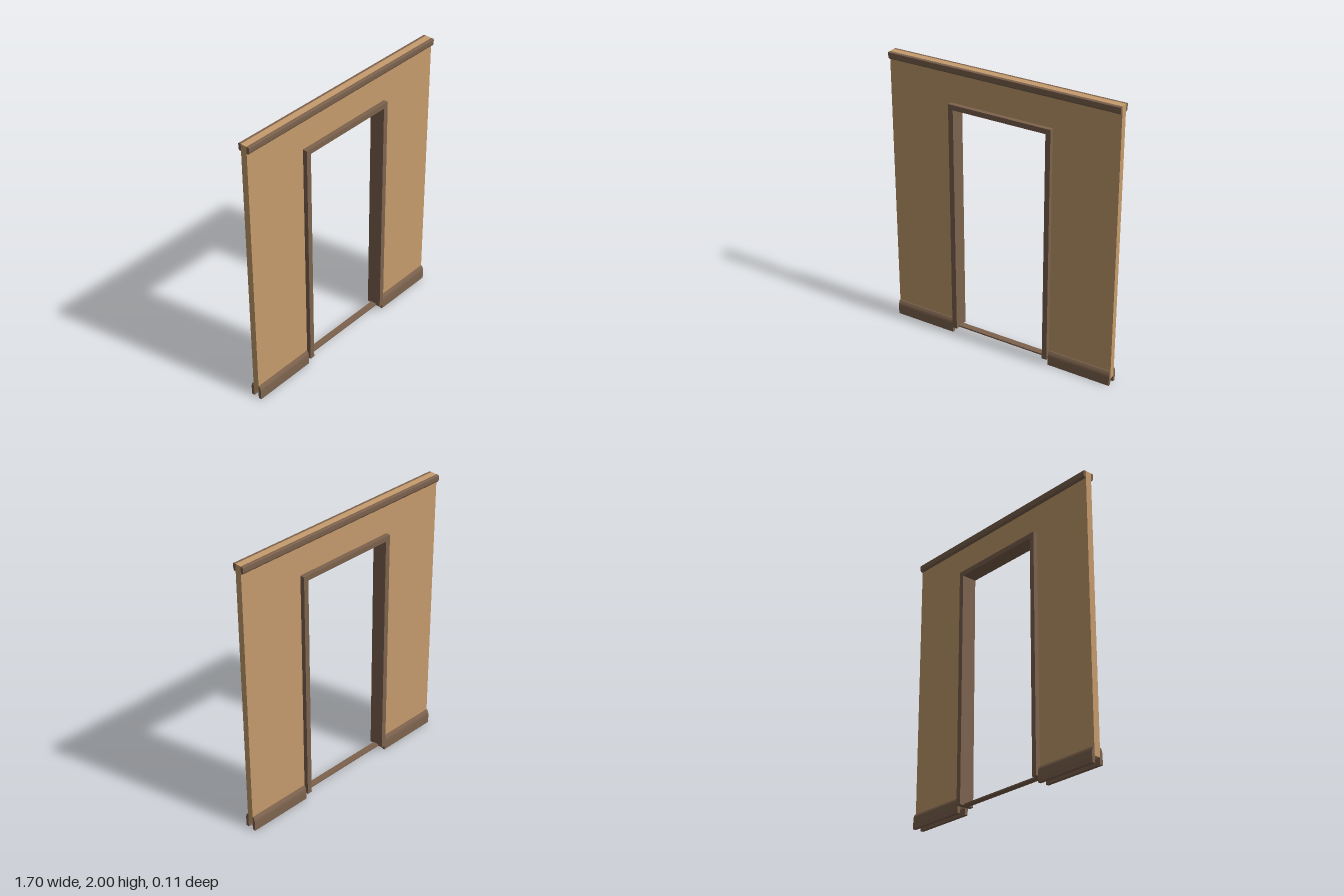
import * as THREE from 'three';
import { toCreasedNormals } from 'three/addons/utils/BufferGeometryUtils.js';

const HALF_W = 0.85, WALL_Z = 0.023, TRIM_Z = 0.043, BOTTOM = 0.045, TOP = 2;
const DOOR_X = 0.38, DOOR_TOP = 1.745, FRAME_T = 0.036, FRAME_Z = 0.055;

// Extrudes a (depth, height) profile along x, centred on x = 0
function moulding(profile, length) {
  const geo = new THREE.ExtrudeGeometry(profile, { depth: length, bevelEnabled: false, curveSegments: 5 });
  geo.translate(0, 0, -length / 2);
  geo.rotateY(-Math.PI / 2);
  return toCreasedNormals(geo, 0.7);
}

// Arch-shaped outline: the outer edge and the opening, joined at the floor
function archShape(outerX, outerTop, innerX, innerTop) {
  return new THREE.Shape([
    [-outerX, BOTTOM], [-innerX, BOTTOM], [-innerX, innerTop], [innerX, innerTop],
    [innerX, BOTTOM], [outerX, BOTTOM], [outerX, outerTop], [-outerX, outerTop],
  ].map(([x, y]) => new THREE.Vector2(x, y)));
}

function slab(shape, halfDepth) {
  const geo = new THREE.ExtrudeGeometry(shape, { depth: halfDepth * 2, bevelEnabled: false });
  return geo.translate(0, 0, -halfDepth);
}

export function createModel() {
  const model = new THREE.Group();
  model.name = 'doorwayWall';
  const plaster = new THREE.MeshStandardMaterial({ name: 'tanWall', color: 0xc69c6d });
  const wood = new THREE.MeshStandardMaterial({ name: 'brownTrim', color: 0x7d634e });

  const add = (name, geo, mat, parent = model) => {
    const mesh = new THREE.Mesh(geo, mat);
    mesh.name = name;
    parent.add(mesh);
    return mesh;
  };

  // Wall panel with the door opening
  add('wall', slab(archShape(HALF_W, TOP, DOOR_X - 0.01, DOOR_TOP - 0.01), WALL_Z), plaster);

  // Door frame, deeper than the wall, and its thin threshold
  add('doorFrame', slab(archShape(DOOR_X, DOOR_TOP, DOOR_X - FRAME_T, DOOR_TOP - FRAME_T), FRAME_Z), wood);
  const sill = add('threshold', new THREE.BoxGeometry((DOOR_X - FRAME_T) * 2, 0.01, WALL_Z * 2), wood);
  sill.position.y = BOTTOM + 0.005;

  // Skirting profile: upright board with a rounded top edge
  const skirting = new THREE.Shape();
  skirting.moveTo(WALL_Z - 0.003, 0);
  skirting.lineTo(TRIM_Z, 0);
  skirting.lineTo(TRIM_Z, 0.065);
  skirting.quadraticCurveTo(TRIM_Z - 0.001, 0.09, WALL_Z + 0.007, 0.105);
  skirting.lineTo(WALL_Z - 0.003, 0.105);

  // Cornice profile: small top bevel and rounded lower edge
  const cornice = new THREE.Shape();
  cornice.moveTo(WALL_Z, 1.95);
  cornice.lineTo(WALL_Z + 0.009, 1.95);
  cornice.quadraticCurveTo(TRIM_Z, 1.953, TRIM_Z, 1.972);
  cornice.lineTo(TRIM_Z, 1.996);
  cornice.lineTo(TRIM_Z - 0.004, TOP);
  cornice.lineTo(WALL_Z, TOP);

  const boardLength = HALF_W - DOOR_X - 0.004;
  const skirtingGeo = moulding(skirting, boardLength);
  const corniceGeo = moulding(cornice, HALF_W * 2);

  // Same trim on both faces of the wall
  for (const [side, turn] of [['front', 0], ['back', Math.PI]]) {
    const trim = new THREE.Group();
    trim.name = side + 'Trim';
    trim.rotation.y = turn;
    model.add(trim);
    add(side + 'Cornice', corniceGeo, wood, trim);
    for (const s of [-1, 1]) {
      const board = add(side + 'Skirting', skirtingGeo, wood, trim);
      board.position.x = s * (HALF_W - boardLength / 2);
    }
  }
  return model;
}
